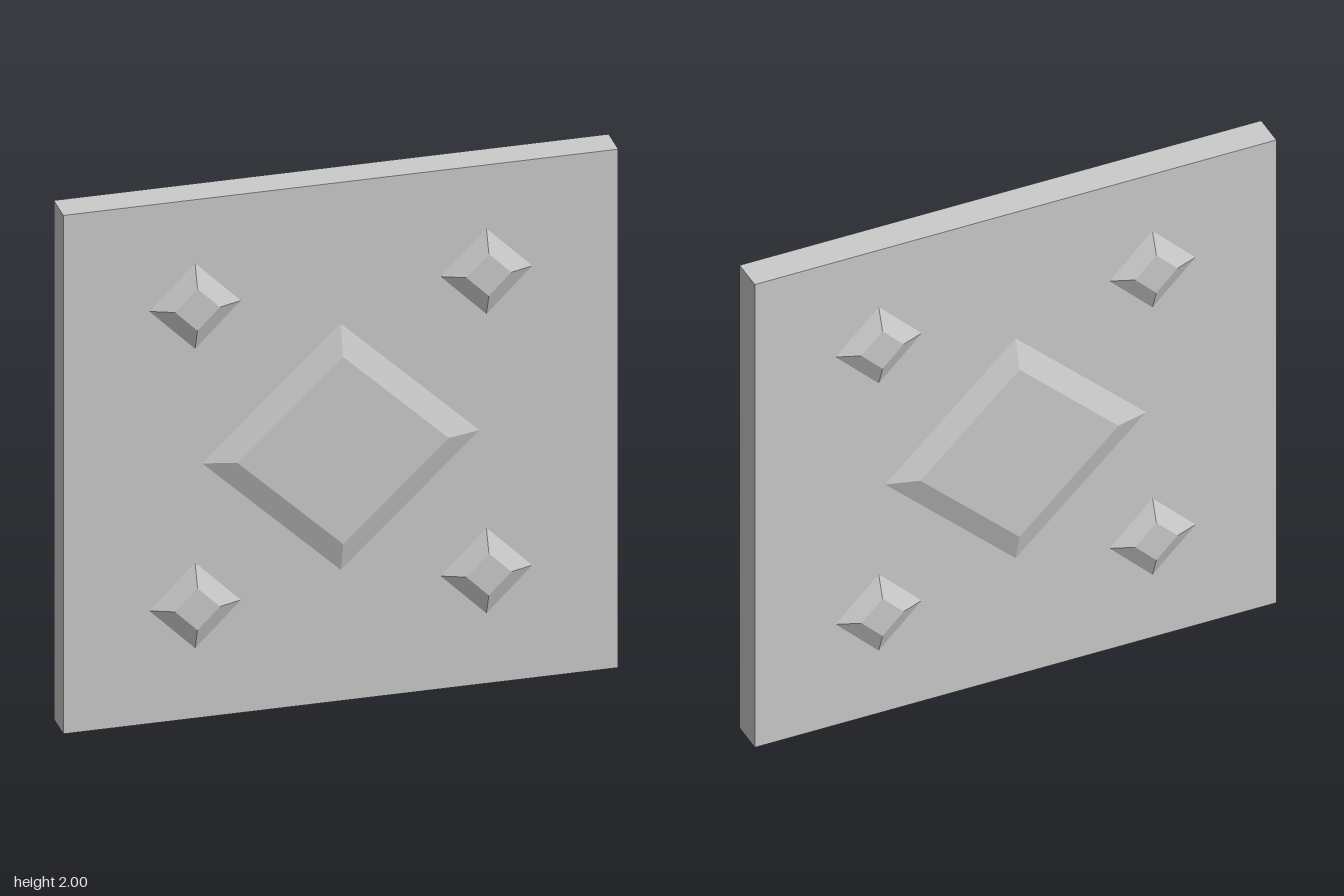
import * as THREE from 'three';

const HALF = 0.0625; // half thickness of the slab
const RISE = 0.032; // height of the raised diamonds

// Diamond-shaped frustum rising along +z from z = 0
function diamond(baseX, baseY, top) {
  const geo = new THREE.CylinderGeometry(top, 1, RISE, 4);
  geo.rotateX(Math.PI / 2);
  geo.translate(0, 0, RISE / 2);
  geo.scale(baseX, baseY, 1);
  return geo;
}

export function createModel() {
  const model = new THREE.Group();
  const material = new THREE.MeshStandardMaterial({ color: 0xcccccc, flatShading: true });

  const add = (parent, name, geometry, x, y, z) => {
    const mesh = new THREE.Mesh(geometry, material);
    mesh.name = name;
    mesh.position.set(x, y, z);
    parent.add(mesh);
  };

  // Square slab
  add(model, 'slab', new THREE.BoxGeometry(2, 2, HALF * 2), 0, 1, 0);

  // The same five raised diamonds on both faces
  const large = diamond(0.5, 0.475, 0.76);
  const small = diamond(0.165, 0.165, 0.49);
  for (const side of ['front', 'back']) {
    const face = new THREE.Group();
    face.name = side + 'Ornament';
    face.rotation.y = side === 'front' ? 0 : Math.PI;
    add(face, 'centreDiamond', large, 0, 0.98, HALF);
    for (const x of [-0.525, 0.525]) {
      for (const y of [0.435, 1.59]) add(face, 'cornerDiamond', small, x, y, HALF);
    }
    model.add(face);
  }
  return model;
}
